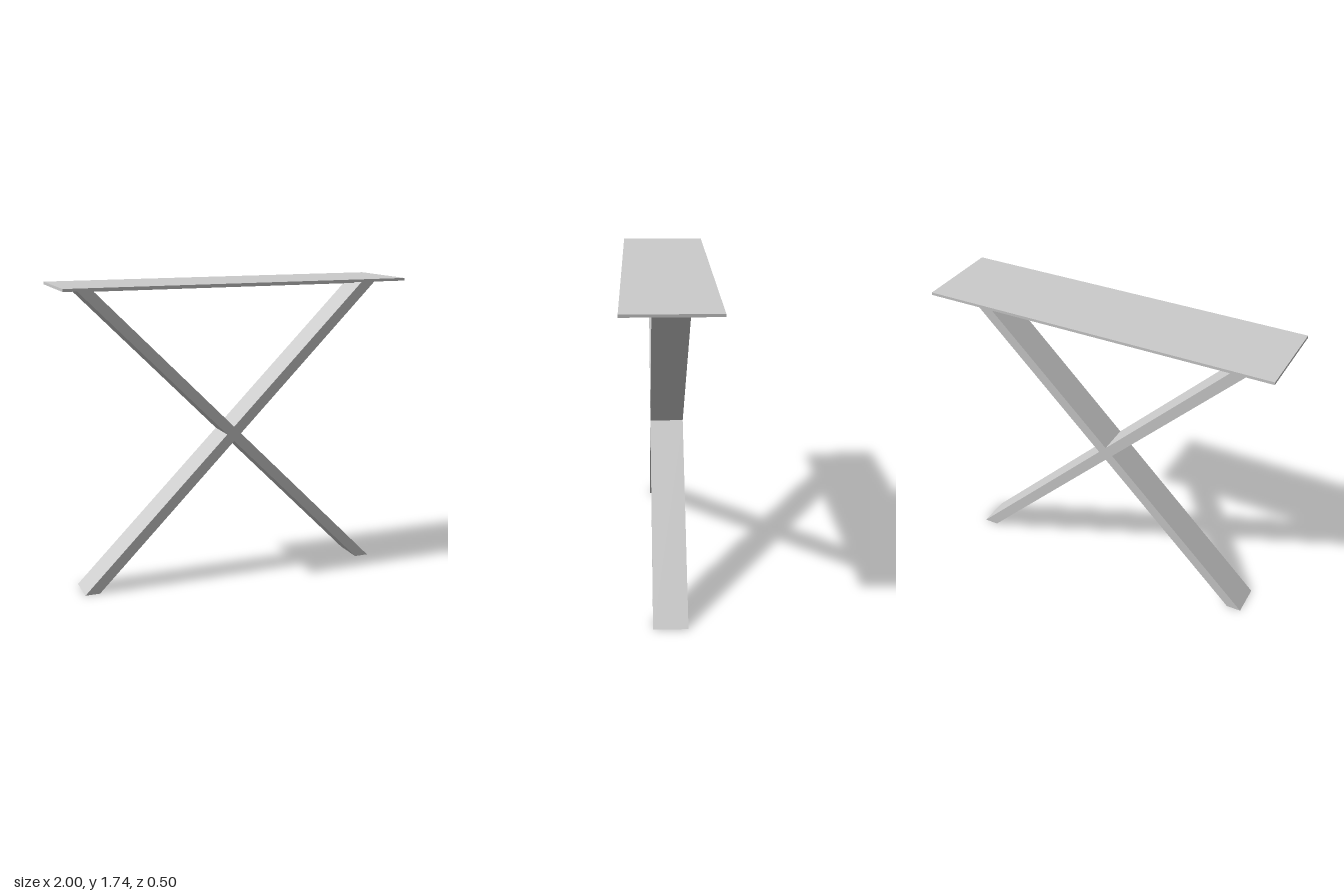
import * as THREE from 'three';

const TOP = 1.725;        // underside of the mounting plate
const PLATE = 0.015;      // plate thickness
const LEG_DEPTH = 0.188;  // depth of the crossed legs
const OUTER = 0.905;      // outer corner of each foot
const INNER = 0.82;       // inner corner of each foot

export function createModel() {
  const group = new THREE.Group();
  const material = new THREE.MeshStandardMaterial({ color: 0xcccccc, flatShading: true });

  const add = (name, geometry, x, y, z) => {
    const mesh = new THREE.Mesh(geometry, material);
    mesh.name = name;
    mesh.position.set(x, y, z);
    group.add(mesh);
  };

  // Flat rectangular top plate
  add('topPlate', new THREE.BoxGeometry(2, PLATE, 0.5), 0, TOP + PLATE / 2, 0);

  // Crossed legs: one X outline with level-cut ends
  const mid = TOP / 2;
  const half = (OUTER - INNER) / 2;
  const outline = [
    [-OUTER, 0], [-INNER, 0], [0, mid - half], [INNER, 0], [OUTER, 0], [half, mid],
    [OUTER, TOP], [INNER, TOP], [0, mid + half], [-INNER, TOP], [-OUTER, TOP], [-half, mid],
  ].map(([x, y]) => new THREE.Vector2(x, y));
  const legs = new THREE.ExtrudeGeometry(new THREE.Shape(outline), { depth: LEG_DEPTH, bevelEnabled: false });
  add('crossedLegs', legs, 0, 0, -LEG_DEPTH / 2);

  // Narrow stiffening rib under the plate, running between the leg tops
  const ribHeight = 0.025;
  add('stiffeningRib', new THREE.BoxGeometry(1.6, ribHeight, 0.04), 0, TOP - ribHeight / 2, 0);

  return group;
}
